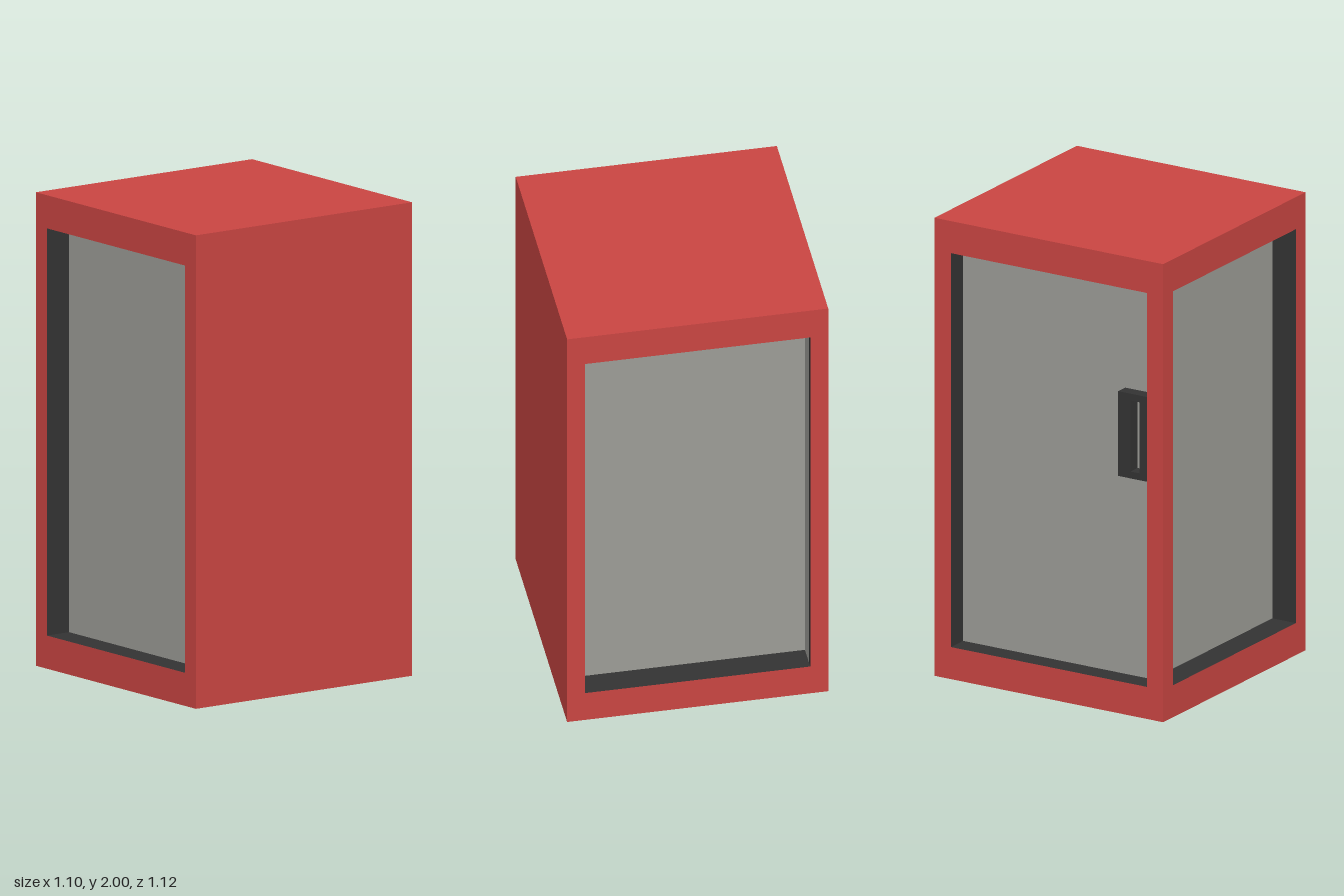
import * as THREE from 'three';

const W = 1.1, H = 2, D = 1.12;
const Y0 = 0.14, Y1 = 1.86;

const red = new THREE.MeshStandardMaterial({ color: 0xc94542 });
const dark = new THREE.MeshStandardMaterial({ color: 0x333333 });
const pane = new THREE.MeshStandardMaterial({ color: 0x9c9c96 });

function add(parent, name, geometry, material, x = 0, y = 0, z = 0) {
  const mesh = new THREE.Mesh(geometry, material);
  mesh.name = name;
  mesh.position.set(x, y, z);
  parent.add(mesh);
  return mesh;
}

function rect(Type, x0, y0, x1, y1) {
  return new Type([[x0, y0], [x1, y0], [x1, y1], [x0, y1]].map(p => new THREE.Vector2(...p)));
}

// Wall with a deep window opening; faces +z before it is turned into place
function windowWall(name, width, distance, halfOpening, recess) {
  const wall = new THREE.Group();
  wall.name = name;

  // Red surround
  const outline = rect(THREE.Shape, -width / 2, 0, width / 2, H);
  outline.holes.push(rect(THREE.Path, -halfOpening, Y0, halfOpening, Y1));
  add(wall, 'surround', new THREE.ShapeGeometry(outline), red, 0, 0, distance);

  // Dark jambs, sill and head, facing into the opening
  const mid = (Y0 + Y1) / 2, z = distance - recess / 2;
  for (const s of [-1, 1]) {
    const jamb = add(wall, 'jamb', new THREE.PlaneGeometry(recess, Y1 - Y0), dark, s * halfOpening, mid, z);
    jamb.rotation.y = -s * Math.PI / 2;
    const ledge = add(wall, s < 0 ? 'sill' : 'head', new THREE.PlaneGeometry(2 * halfOpening, recess),
      dark, 0, s < 0 ? Y0 : Y1, z);
    ledge.rotation.x = s * Math.PI / 2;
  }

  // Recessed pane
  add(wall, 'pane', new THREE.PlaneGeometry(2 * halfOpening, Y1 - Y0), pane, 0, mid, distance - recess);
  return wall;
}

export function createModel() {
  const model = new THREE.Group();
  model.name = 'booth';

  // Front and back windows
  model.add(windowWall('frontWall', W, D / 2, 0.475, 0.115));
  const back = windowWall('backWall', W, D / 2, 0.475, 0.115);
  back.rotation.y = Math.PI;
  model.add(back);

  // Light edge of the door pane inside the back opening
  const edge = add(back, 'doorPaneEdge', new THREE.PlaneGeometry(0.085, Y1 - Y0), pane, 0.474, (Y0 + Y1) / 2, 0.4875);
  edge.rotation.y = -Math.PI / 2;

  // Door on the right side
  const door = windowWall('doorWall', D, W / 2, 0.48, 0.095);
  door.rotation.y = -Math.PI / 2;
  model.add(door);

  // Door handle: grip and mounting plate, joined at both ends
  const handle = new THREE.Group();
  handle.name = 'handle';
  handle.position.set(0, 1.215, 0.508);
  add(handle, 'grip', new THREE.BoxGeometry(0.06, 0.37, 0.055), dark, 0.36);
  add(handle, 'mountingPlate', new THREE.BoxGeometry(0.045, 0.37, 0.055), dark, 0.4575);
  for (const s of [-1, 1]) {
    add(handle, 'handleBridge', new THREE.BoxGeometry(0.045, 0.03, 0.055), dark, 0.4125, s * 0.17);
  }
  door.add(handle);

  // Solid left wall, roof and floor
  add(model, 'leftWall', new THREE.PlaneGeometry(D, H), red, W / 2, H / 2).rotation.y = Math.PI / 2;
  add(model, 'roof', new THREE.PlaneGeometry(W, D), red, 0, H).rotation.x = -Math.PI / 2;
  add(model, 'floor', new THREE.PlaneGeometry(W, D), red).rotation.x = Math.PI / 2;

  return model;
}
